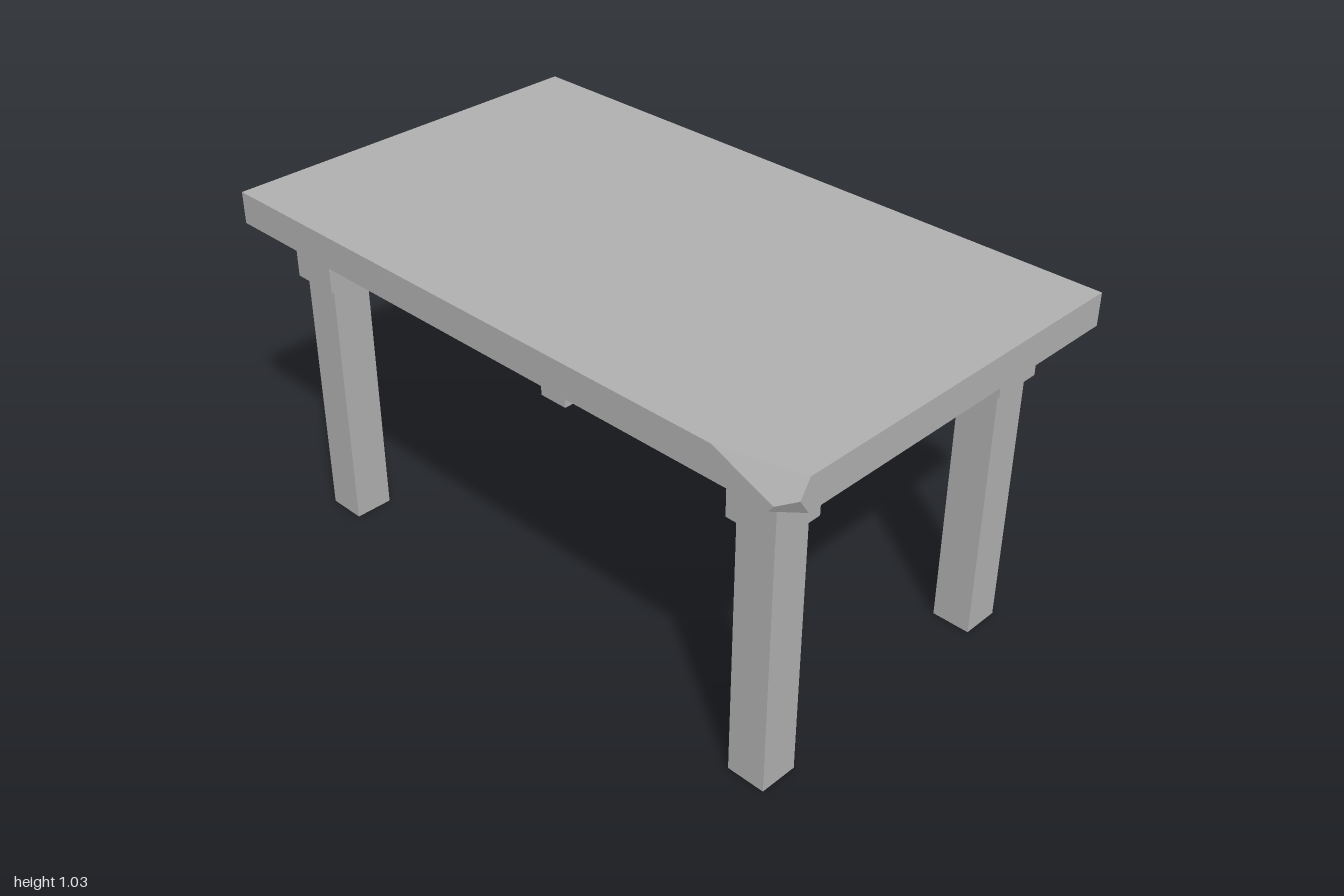
import * as THREE from 'three';
import { ConvexGeometry } from 'three/addons/geometries/ConvexGeometry.js';

export function createModel() {
  const model = new THREE.Group();
  model.name = 'table';
  const stone = new THREE.MeshStandardMaterial({ color: 0xb0b0b0 });
  stone.name = 'grey stone';

  const add = (name, geometry, x = 0, y = 0, z = 0) => {
    const mesh = new THREE.Mesh(geometry, stone);
    mesh.name = name;
    mesh.position.set(x, y, z);
    model.add(mesh);
  };

  // Slab top with a two-facet chip at the front right corner
  const X = 0.587, top = 1.035, bottom = 0.94;
  const corners = [];
  for (const y of [bottom, top]) {
    for (const [x, z] of [[X, 1], [X, -1], [-X, -1]]) corners.push(new THREE.Vector3(x, y, z));
  }
  const chip = [
    [-0.53, top, 1], [-X, top, 0.765],
    [-0.56, 0.985, 1], [-X, 0.96, 0.95],
    [-0.53, bottom, 1], [-X, bottom, 0.935],
  ].map((p) => new THREE.Vector3(...p));
  add('tableTop', new ConvexGeometry([...corners, ...chip]));

  // Solid apron under the slab, just inside the outer faces of the leg blocks
  add('apron', new THREE.BoxGeometry(0.996, 0.07, 1.774), -0.002, 0.905, 0.002);

  // Four square legs, each capped by a wider block
  const leg = new THREE.BoxGeometry(0.117, 0.785, 0.117);
  const block = new THREE.BoxGeometry(0.155, 0.155, 0.15);
  for (const [sx, side] of [[1, 'Left'], [-1, 'Right']]) {
    for (const [sz, end] of [[1, 'front'], [-1, 'back']]) {
      const x = sx * 0.427 - 0.002, z = sz * 0.816 + 0.002;
      add(`${end}${side}Leg`, leg, x, 0.3925, z);
      add(`${end}${side}LegBlock`, block, x, 0.8625, z);
    }
  }
  return model;
}
